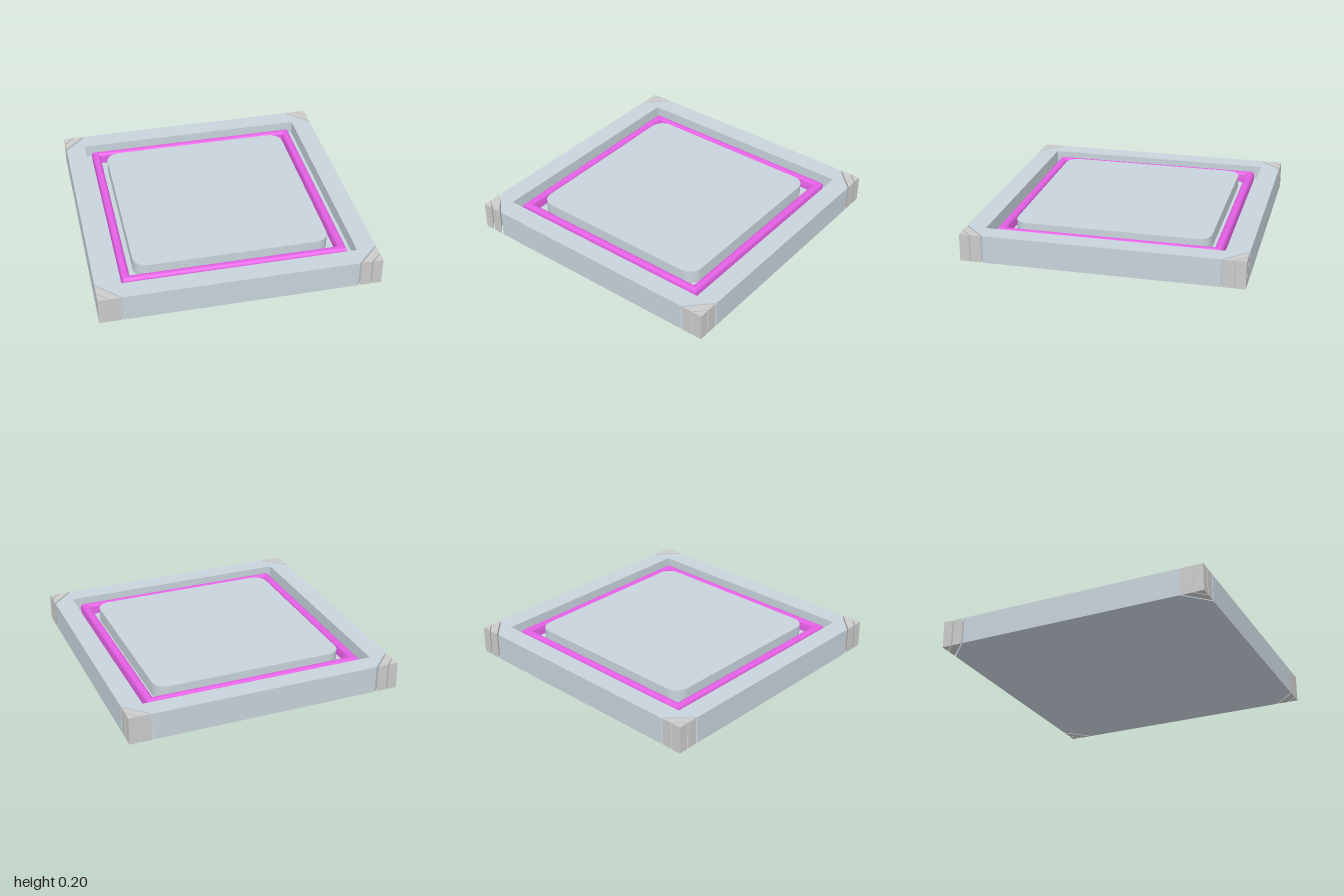
import * as THREE from 'three';
import { toCreasedNormals } from 'three/addons/utils/BufferGeometryUtils.js';

const HEIGHT = 0.2, FLOOR = 0.1;

const polygon = (points) => new THREE.Shape(points.map(([x, y]) => new THREE.Vector2(x, y)));
const square = (h) => [[-h, -h], [h, -h], [h, h], [-h, h]];

// Upright slab from a plan outline, between two heights
function slab(shape, bottom, top) {
  const geometry = new THREE.ExtrudeGeometry(shape, { depth: top - bottom, bevelEnabled: false, curveSegments: 8 });
  geometry.rotateX(-Math.PI / 2).translate(0, bottom, 0);
  return toCreasedNormals(geometry, 0.5);
}

function roundedSquare(h, r) {
  const shape = new THREE.Shape();
  [[1, -1], [1, 1], [-1, 1], [-1, -1]].forEach(([x, y], i) => {
    const start = -Math.PI / 2 + i * Math.PI / 2;
    shape.absarc(x * (h - r), y * (h - r), r, start, start + Math.PI / 2, false);
  });
  shape.closePath();
  return shape;
}

export function createModel() {
  const model = new THREE.Group();
  const body = new THREE.MeshStandardMaterial({ color: 0xc8d3db });
  const grey = new THREE.MeshStandardMaterial({ color: 0xcccccc });
  const magenta = new THREE.MeshStandardMaterial({ color: 0xe45fe4 });

  const add = (parent, name, geometry, material) => {
    const mesh = new THREE.Mesh(geometry, material);
    mesh.name = name;
    parent.add(mesh);
    return mesh;
  };

  // Square rim with cut corners and a square well
  const c = 0.83;
  const rim = polygon([[-c, -1], [c, -1], [1, -c], [1, c], [c, 1], [-c, 1], [-1, c], [-1, -c]]);
  rim.holes.push(polygon(square(0.855).reverse()));
  add(model, 'rim', slab(rim, 0, HEIGHT), body);

  // Well floor and raised centre plate, leaving a groove around it
  add(model, 'grooveFloor', slab(polygon(square(0.855)), 0, FLOOR), body);
  add(model, 'centrePlate', slab(roundedSquare(0.705, 0.1), FLOOR, HEIGHT), body);

  // Round-topped strip with mitred corners lying in the groove
  const r = 0.03, mid = 0.775, springY = 0.15;
  const profile = [[mid + r, FLOOR]];
  for (let i = 0; i <= 12; i++) {
    const a = i / 12 * Math.PI;
    profile.push([mid + r * Math.cos(a), springY + r * Math.sin(a)]);
  }
  profile.push([mid - r, FLOOR]);
  const lathe = new THREE.LatheGeometry(
    profile.map(([x, y]) => new THREE.Vector2(x * Math.SQRT2, y)), 4, Math.PI / 4);
  add(model, 'lightStrip', toCreasedNormals(lathe, 0.6), magenta);

  // Corner guards: an inner diagonal bar and an outer triangular tip
  const bar = slab(polygon([[1, 0.845], [1, 0.92], [0.92, 1], [0.845, 1]]), 0, HEIGHT);
  const tip = slab(polygon([[1, 0.93], [1, 1], [0.93, 1]]), 0, HEIGHT);
  for (let i = 0; i < 4; i++) {
    const guard = new THREE.Group();
    guard.name = 'cornerGuard' + (i + 1);
    guard.rotation.y = i * Math.PI / 2;
    add(guard, 'guardBar', bar, grey);
    add(guard, 'guardTip', tip, grey);
    model.add(guard);
  }
  return model;
}
